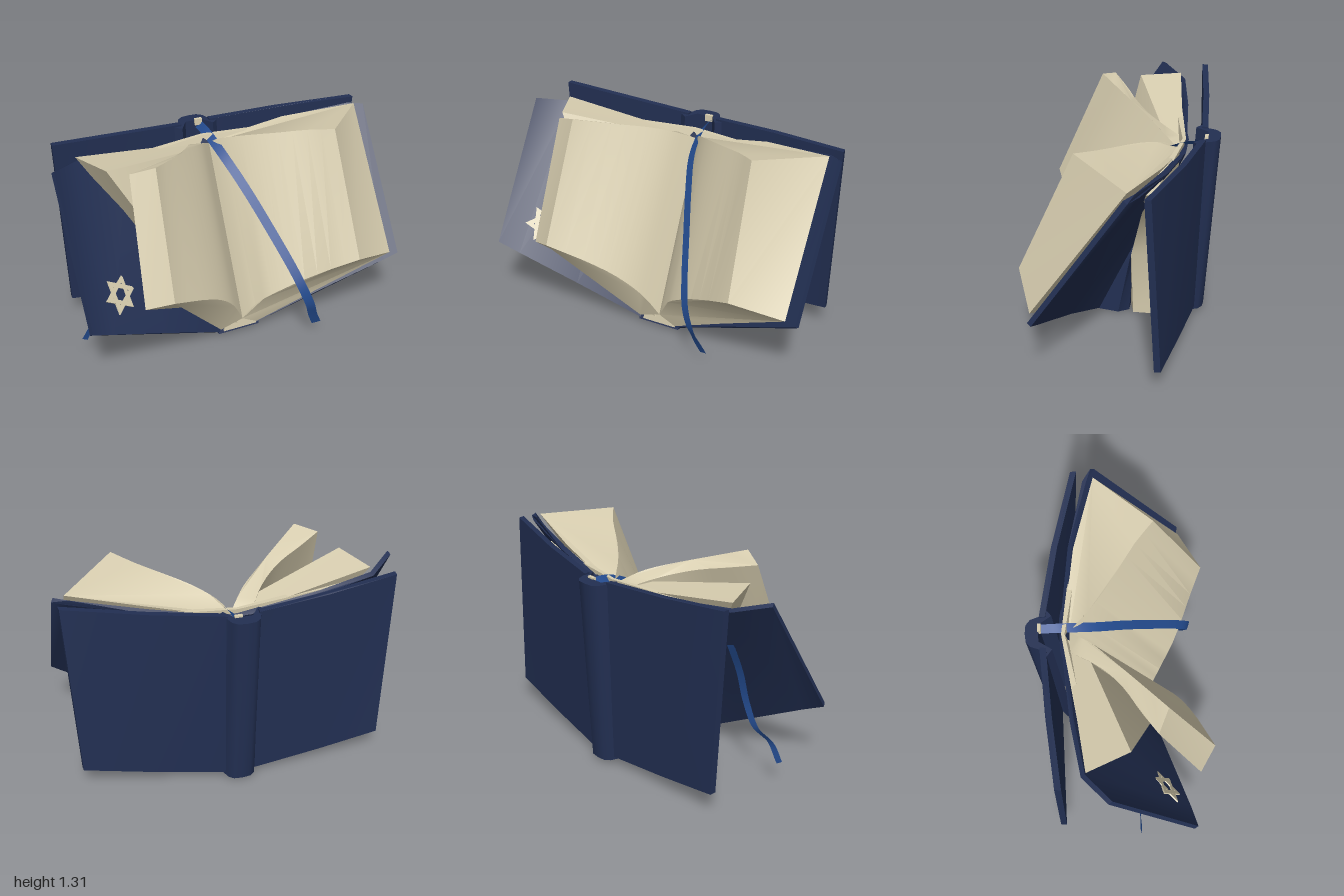
import * as THREE from 'three';
import { toCreasedNormals } from 'three/addons/utils/BufferGeometryUtils.js';

const paint = (name, color, side = THREE.FrontSide) => {
  const m = new THREE.MeshStandardMaterial({ color, side });
  m.name = name;
  return m;
};

// Smooth run of points through a few given ones
const bend = (points, steps = 12) =>
  new THREE.CatmullRomCurve3(points.map((p) => new THREE.Vector3(...p))).getPoints(steps).map((p) => p.toArray());

// Closed solid through stacked loops of [x, y, z] points, lowest loop first
function loft(loops) {
  const flat = (loop) => loop.map(([x, , z]) => new THREE.Vector2(x, -z));
  if (THREE.ShapeUtils.area(flat(loops[0])) < 0) loops = loops.map((l) => [...l].reverse());
  const n = loops[0].length, last = (loops.length - 1) * n, index = [];
  for (let r = 0; r < loops.length - 1; r++) {
    for (let i = 0; i < n; i++) {
      const a = r * n + i, b = r * n + (i + 1) % n;
      index.push(a, b, b + n, a, b + n, a + n);
    }
  }
  const cap = (loop) => THREE.ShapeUtils.triangulateShape(flat(loop), []);
  cap(loops[0]).forEach(([a, b, c]) => index.push(c, b, a));
  cap(loops[loops.length - 1]).forEach(([a, b, c]) => index.push(last + a, last + b, last + c));
  const g = new THREE.BufferGeometry();
  g.setAttribute('position', new THREE.Float32BufferAttribute(loops.flat(2), 3));
  g.setIndex(index);
  return toCreasedNormals(g, 0.6);
}

// Board between a lower and an upper edge line, thickened by an offset
function slab(bottom, top, [dx, dy, dz]) {
  const loop = (edge) => [...edge, ...edge.map(([x, y, z]) => [x + dx, y + dy, z + dz]).reverse()];
  return loft([loop(bottom), loop(top)]);
}

// Flat band that follows a curve and lies across a given normal
function ribbon(points, normal, width) {
  const curve = new THREE.CatmullRomCurve3(points.map((p) => new THREE.Vector3(...p)));
  const pos = [], index = [], steps = 40;
  for (let i = 0; i <= steps; i++) {
    const p = curve.getPoint(i / steps);
    const w = curve.getTangent(i / steps).cross(normal).setLength(width / 2);
    pos.push(...p.clone().add(w).toArray(), ...p.clone().sub(w).toArray());
    if (i < steps) index.push(2 * i, 2 * i + 1, 2 * i + 2, 2 * i + 1, 2 * i + 3, 2 * i + 2);
  }
  const g = new THREE.BufferGeometry();
  g.setAttribute('position', new THREE.Float32BufferAttribute(pos, 3));
  g.setIndex(index);
  g.computeVertexNormals();
  return g;
}

export function createModel() {
  const group = new THREE.Group();
  const navy = paint('navy cover', 0x222f52);
  const paper = paint('cream paper', 0xd8ceb0);
  const blue = paint('blue ribbon', 0x244c90, THREE.DoubleSide);
  const add = (name, geometry, material) => {
    const mesh = new THREE.Mesh(geometry, material);
    mesh.name = name;
    group.add(mesh);
    return mesh;
  };

  // Covers of the open book in front
  add('frontBookLeftCover', slab(
    [[0.13, 0.045, 0.18], [0.5, 0.24, 0.285], [0.9, 0.43, 0.39], [0.98, 0.47, 0.41]],
    [[0.13, 1.12, -0.31], [0.5, 1.19, -0.26], [0.9, 1.25, -0.16], [0.98, 1.25, -0.11]],
    [0.012, -0.014, -0.022]), navy);
  add('frontBookRightCover', slab(
    [[-0.11, 0.045, 0.18], [-0.5, 0.24, 0.285], [-0.85, 0.41, 0.38], [-0.98, 0.47, 0.41]],
    [[-0.11, 1.12, -0.31], [-0.5, 1.16, -0.28], [-0.82, 1.2, -0.23], [-0.98, 1.24, -0.09]],
    [-0.012, -0.014, -0.022]), navy);

  // Spine of the front book, deep at the foot and leaning back: y, front z, back z
  add('frontBookSpine', loft([[0.005, 0.185, -0.02], [0.4, 0.01, -0.05], [0.72, -0.14, -0.18], [1.1, -0.31, -0.345]]
    .map(([y, f, b]) => [
      [-0.12, y + 0.03, f], [0.15, y + 0.03, f], [0.16, y + 0.02, f * 0.3 + b * 0.7],
      [0.11, y + 0.01, b], [-0.08, y + 0.01, b], [-0.13, y + 0.02, f * 0.3 + b * 0.7],
    ])), navy);

  // Page blocks of the front book: curved open page, fore edge, then the side on the cover
  add('leftPages', loft([
    [...bend([[0.03, 0.12, 0.2], [0.06, 0.19, 0.225], [0.13, 0.29, 0.28], [0.22, 0.37, 0.34], [0.34, 0.45, 0.4],
      [0.48, 0.52, 0.46], [0.63, 0.59, 0.53]]),
    [0.92, 0.49, 0.41], [0.5, 0.27, 0.3], [0.13, 0.06, 0.19]],
    [...bend([[0.03, 1.1, -0.29], [0.06, 1.14, -0.25], [0.12, 1.175, -0.18], [0.22, 1.21, -0.09], [0.34, 1.24, 0],
      [0.48, 1.275, 0.1], [0.6, 1.305, 0.21]]),
    [0.92, 1.26, -0.12], [0.5, 1.2, -0.25], [0.13, 1.12, -0.31]],
  ]), paper);
  add('rightPages', loft([
    [...bend([[0.03, 0.12, 0.2], [-0.02, 0.22, 0.24], [-0.08, 0.32, 0.29], [-0.18, 0.43, 0.36], [-0.31, 0.52, 0.43],
      [-0.54, 0.63, 0.53]]),
    ...bend([[-0.68, 0.57, 0.44], [-0.5, 0.5, 0.4], [-0.36, 0.43, 0.35], [-0.26, 0.35, 0.3], [-0.18, 0.23, 0.235],
      [-0.11, 0.07, 0.19]])],
    [...bend([[0.03, 1.1, -0.29], [-0.02, 1.14, -0.23], [-0.08, 1.18, -0.16], [-0.18, 1.22, -0.07], [-0.31, 1.26, 0.05],
      [-0.51, 1.32, 0.23]]),
    ...bend([[-0.64, 1.28, 0.17], [-0.5, 1.25, 0.08], [-0.36, 1.22, 0], [-0.26, 1.19, -0.08], [-0.18, 1.16, -0.17],
      [-0.1, 1.12, -0.29]])],
  ]), paper);
  // Loose leaves fanned out behind the right block
  add('fannedPages', loft([
    [[0, 0.09, 0.19], [-0.13, 0.12, 0.19], [-0.18, 0.26, 0.24], [-0.06, 0.2, 0.21]],
    [[0, 1.1, -0.32], [-0.82, 1.23, -0.225], [-0.72, 1.24, 0.02], [-0.1, 1.13, -0.2]],
  ]), paper);
  // Paper showing inside the foot of the spine
  add('spineLining', loft([
    [[-0.09, 0.05, 0.19], [0.13, 0.05, 0.19], [0.1, 0.05, 0.05], [-0.07, 0.05, 0.05]],
    [[-0.07, 0.12, 0.185], [0.12, 0.12, 0.185], [0.1, 0.12, 0.05], [-0.06, 0.12, 0.05]],
  ]), paper);

  // Covers of the standing book behind
  add('rearBookLeftCover', slab(
    [[0.09, 0.06, -0.42], [0.5, 0.11, -0.365], [0.92, 0.17, -0.305]],
    [[0.09, 1.19, -0.455], [0.5, 1.22, -0.375], [0.965, 1.255, -0.25]], [0.003, 0, 0.036]), navy);
  add('rearBookRightCover', slab(
    [[-0.09, 0.06, -0.42], [-0.5, 0.11, -0.415], [-0.87, 0.165, -0.41]],
    [[-0.09, 1.19, -0.455], [-0.5, 1.22, -0.43], [-0.91, 1.26, -0.39]], [-0.003, 0, 0.036]), navy);

  // Rounded hollow spine of the rear book
  const arch = [[-0.14, -0.415], [-0.1, -0.45], [-0.08, -0.505], [-0.05, -0.53], [0, -0.535], [0.05, -0.53],
    [0.08, -0.505], [0.1, -0.45], [0.14, -0.415], [0.1, -0.385], [0.05, -0.46], [-0.05, -0.46], [-0.1, -0.385]];
  add('rearBookSpine', loft([[0.04, 0.065], [1.18, 0]].map(([y, dz]) => arch.map(([x, z]) => [x, y, z + dz]))), navy);
  add('headband', new THREE.BoxGeometry(0.045, 0.04, 0.02), paper).position.set(0.03, 1.17, -0.455);

  // Pages of the rear book, fanning wider upward: y, half width, side z, middle z, back z
  add('rearBookPages', loft([
    [0.025, 0.15, -0.05, -0.01, -0.335], [0.45, 0.17, -0.04, -0.05, -0.32], [0.72, 0.26, -0.1, -0.18, -0.3],
    [0.9, 0.42, -0.14, -0.26, -0.27], [1.15, 0.72, -0.18, -0.315, -0.23],
  ].map(([y, w, s, m, b]) => [
    [-w, y, s], [0, y, m], [w, y, s], [w, y, b], [0, y, Math.min(b, m - 0.02)], [-w, y, b],
  ])), paper);

  // Bookmark ribbons
  add('pageRibbon', ribbon([
    [0.035, 1.15, -0.46], [0.04, 1.14, -0.33], [0.07, 1.06, -0.14], [0.13, 0.92, 0.02], [0.2, 0.74, 0.18],
    [0.28, 0.52, 0.36], [0.32, 0.4, 0.43], [0.36, 0.29, 0.45], [0.39, 0.2, 0.43], [0.43, 0.11, 0.41],
  ], new THREE.Vector3(-0.48, 0.49, 0.72), 0.055), blue);
  add('hangingRibbon', ribbon([
    [-0.72, 0.92, -0.12], [-0.7, 0.7, -0.01], [-0.7, 0.5, 0.05], [-0.76, 0.35, 0.07], [-0.87, 0.29, 0.08],
    [-0.94, 0.19, 0.08],
  ], new THREE.Vector3(0.48, 0.49, 0.72), 0.04), blue);

  // Six-pointed ornament on the cover: two thin triangular frames
  const star = new THREE.Group();
  star.name = 'coverOrnament';
  const corners = (r) => [0, 1, 2].map((i) => new THREE.Vector2(0, r).rotateAround(new THREE.Vector2(), i * Math.PI * 2 / 3));
  for (const turn of [0, Math.PI]) {
    const frame = new THREE.Shape(corners(0.118));
    frame.holes.push(new THREE.Path(corners(0.068).reverse()));
    const bar = new THREE.Mesh(new THREE.ExtrudeGeometry(frame, { depth: 0.009, bevelEnabled: false }), paper);
    bar.name = 'ornamentFrame';
    bar.rotation.z = turn + 0.37;
    star.add(bar);
  }
  star.position.set(-0.755, 0.56, 0.23);
  star.lookAt(-0.755 + 0.48, 0.56 + 0.49, 0.23 + 0.72);
  group.add(star);

  return group;
}
